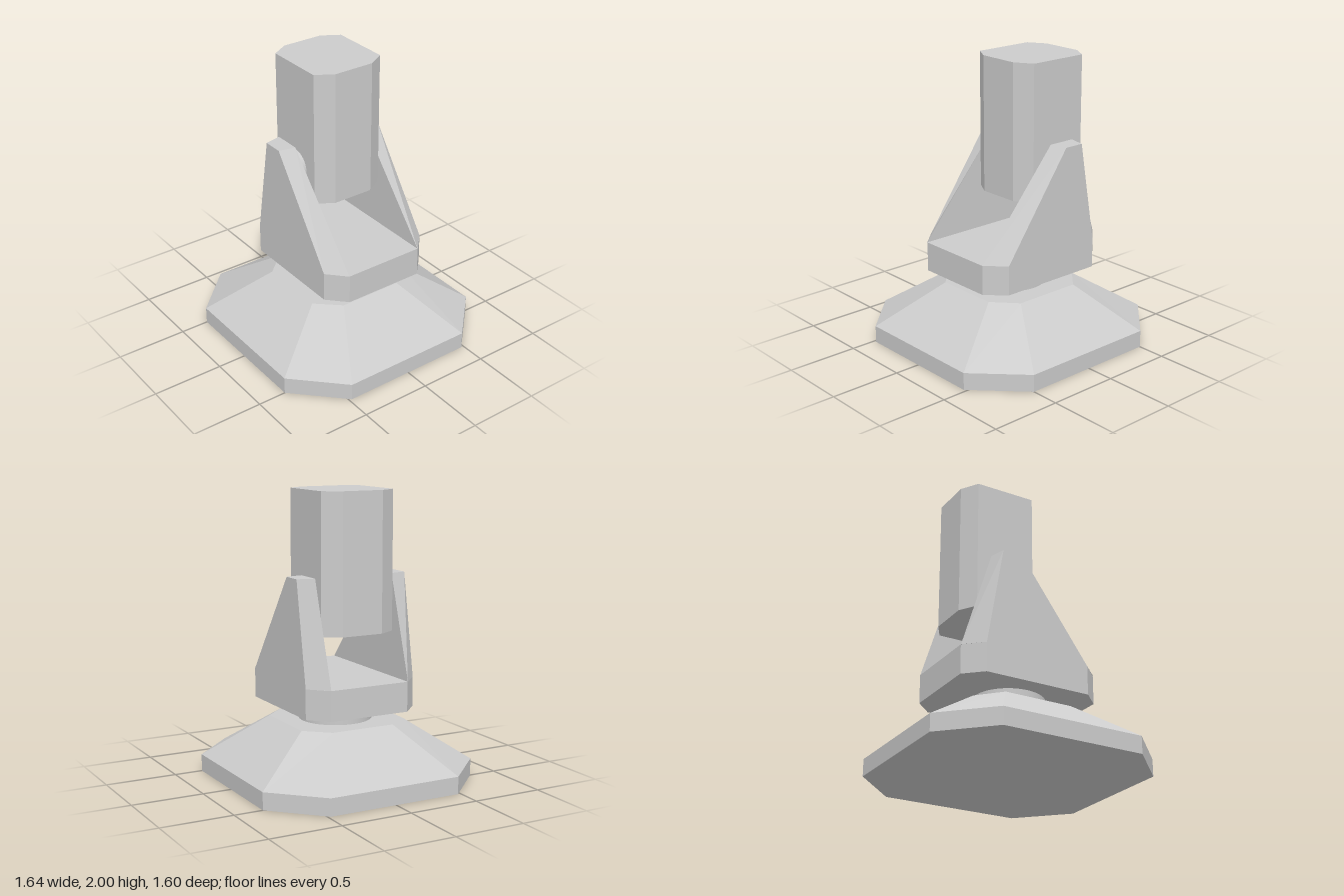
import * as THREE from 'three';

const material = new THREE.MeshStandardMaterial({ color: 0xcccccc, flatShading: true });
const smooth = new THREE.MeshStandardMaterial({ color: 0xcccccc });

// Closed solid between two convex rings of [x, y, z], counter-clockwise from above
function loft(bottom, top) {
  const n = bottom.length, pos = [];
  const tri = (...pts) => pts.forEach((p) => pos.push(...p));
  for (let i = 0; i < n; i++) {
    const j = (i + 1) % n;
    tri(bottom[i], bottom[j], top[j]);
    tri(bottom[i], top[j], top[i]);
    if (i > 0 && i < n - 1) {
      tri(top[0], top[i], top[j]);
      tri(bottom[0], bottom[j], bottom[i]);
    }
  }
  const geometry = new THREE.BufferGeometry();
  geometry.setAttribute('position', new THREE.Float32BufferAttribute(pos, 3));
  geometry.computeVertexNormals();
  return geometry;
}

// Chamfered rectangle at height y; cx and cz are the chamfer lengths
function octagon(y, x0, x1, z0, z1, cx, cz) {
  return [
    [x0, z1 - cz], [x0 + cx, z1], [x1 - cx, z1], [x1, z1 - cz],
    [x1, z0 + cz], [x1 - cx, z0], [x0 + cx, z0], [x0, z0 + cz],
  ].map(([x, z]) => [x, y, z]);
}

export function createModel() {
  const group = new THREE.Group();
  const add = (name, geometry, mat = material) => {
    const mesh = new THREE.Mesh(geometry, mat);
    mesh.name = name;
    group.add(mesh);
    return mesh;
  };

  // Foot: low octagonal slab with a sloping upper part
  const rim = octagon(0.12, -0.82, 0.82, -0.8, 0.8, 0.32, 0.32);
  add('footSlab', loft(octagon(0, -0.82, 0.82, -0.8, 0.8, 0.32, 0.32), rim));
  add('footSlope', loft(rim, octagon(0.41, -0.39, 0.39, -0.39, 0.39, 0.145, 0.16)));

  // Swivel neck
  add('neck', new THREE.CylinderGeometry(0.253, 0.253, 0.13, 48), smooth).position.y = 0.465;

  // Yoke platform
  const yoke = [-0.51, 0.51, -0.43, 0.39, 0.125, 0.12];
  add('yokePlatform', loft(octagon(0.52, ...yoke), octagon(0.725, ...yoke)));

  // Tapered cheeks, standing on the chamfered ends of the platform
  const cheek = (name, inner, outer) => {
    const ring = (y, inL, outL, outR, inR) => {
      const pts = [[inL, y, inner], [outL, y, outer], [outR, y, outer], [inR, y, inner]];
      return outer > inner ? pts : pts.reverse();
    };
    add(name, loft(ring(0.725, -0.51, -0.385, 0.385, 0.51), ring(1.43, -0.29, -0.263, -0.12, -0.095)));
  };
  cheek('frontCheek', 0.273, 0.39);
  cheek('backCheek', -0.308, -0.43);

  // Pivot pin between the cheeks
  const pin = add('pivotPin', new THREE.CylinderGeometry(0.125, 0.125, 0.585, 40), smooth);
  pin.rotation.x = Math.PI / 2;
  pin.position.set(-0.155, 1.255, -0.017);

  // Upright post with chamfered corners
  const post = [-0.445, 0.133, -0.308, 0.23, 0.073, 0.122];
  add('post', loft(octagon(1.055, ...post), octagon(2, ...post)));

  return group;
}
